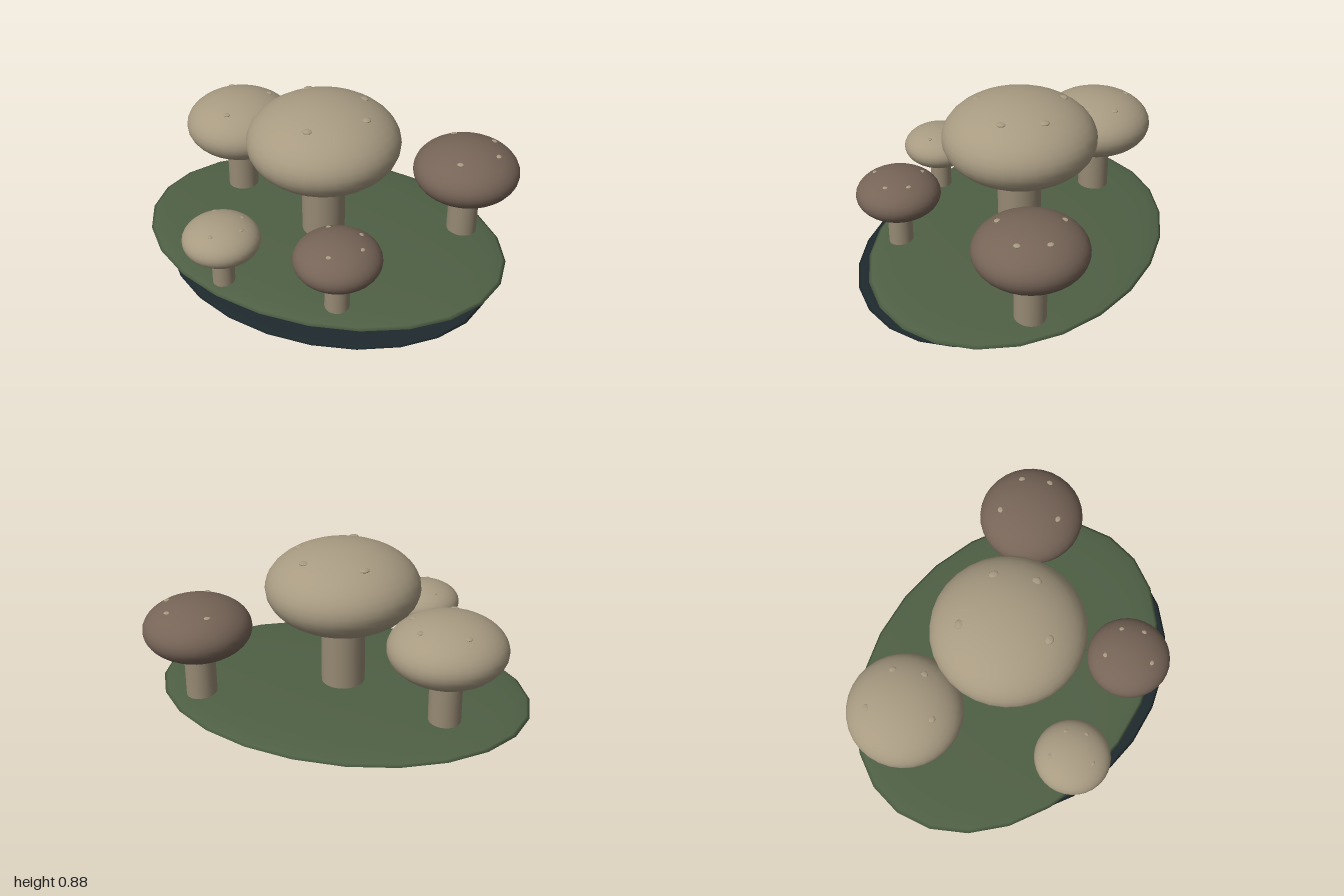
import * as THREE from 'three';

const paint = (name, color) => {
  const m = new THREE.MeshStandardMaterial({ color });
  m.name = name;
  return m;
};

export function createModel() {
  const group = new THREE.Group();
  const moss = paint('moss green', 0x4f6045);
  const shade = paint('dark slate', 0x1f2a2e);
  const tan = paint('cap tan', 0xa89b82);
  const brown = paint('cap brown', 0x766457);
  const stalk = paint('stem beige', 0x978a74);

  // Flattened sphere used for the ground, caps and spots
  const ellipsoid = (name, mat, pos, radii, w = 24, h = 16) => {
    const mesh = new THREE.Mesh(new THREE.SphereGeometry(1, w, h).scale(...radii), mat);
    mesh.name = name;
    mesh.position.set(...pos);
    return mesh;
  };

  // Ground: mossy mound over an offset thin dark disc
  group.add(ellipsoid('mossMound', moss, [0, 0.075, -0.033], [0.995, 0.05, 0.73]));
  group.add(ellipsoid('baseDisc', shade, [0.073, 0.013, 0.08], [0.873, 0.013, 0.67]));

  // Spot places on a cap, as fractions of its radius
  const spots = [[-0.42, -0.42], [0.34, -0.47], [0.58, 0], [0.05, 0.565]];

  // name, x, z, cap centre height, cap radius, cap half height, stem radius, cap colour
  const mushrooms = [
    ['centreMushroom', 0, -0.033, 0.662, 0.397, 0.223, 0.114, tan],
    ['rightMushroom', -0.603, -0.235, 0.508, 0.297, 0.167, 0.083, tan],
    ['leftMushroom', 0.663, -0.367, 0.476, 0.277, 0.155, 0.08, brown],
    ['frontLeftMushroom', 0.33, 0.5, 0.387, 0.217, 0.122, 0.063, brown],
    ['frontRightMushroom', -0.27, 0.565, 0.354, 0.196, 0.11, 0.057, tan],
  ];
  const stemBottom = 0.047;

  for (const [name, x, z, y, r, ry, stemR, capMat] of mushrooms) {
    const mushroom = new THREE.Group();
    mushroom.name = name;
    mushroom.position.set(x, 0, z);

    const height = y - stemBottom;
    const stem = new THREE.Mesh(new THREE.CylinderGeometry(stemR, stemR, height, 24), stalk);
    stem.name = 'stem';
    stem.position.y = stemBottom + height / 2;
    mushroom.add(stem, ellipsoid('cap', capMat, [0, y, 0], [r, ry, r], 32, 20));

    // Flat spots just breaking through the cap surface
    for (const [u, v] of spots) {
      const top = y + ry * Math.sqrt(1 - u * u - v * v);
      mushroom.add(ellipsoid('spot', tan, [u * r, top - 0.01 * r, v * r],
        [0.065 * r, 0.022 * r, 0.065 * r], 12, 8));
    }
    group.add(mushroom);
  }
  return group;
}
